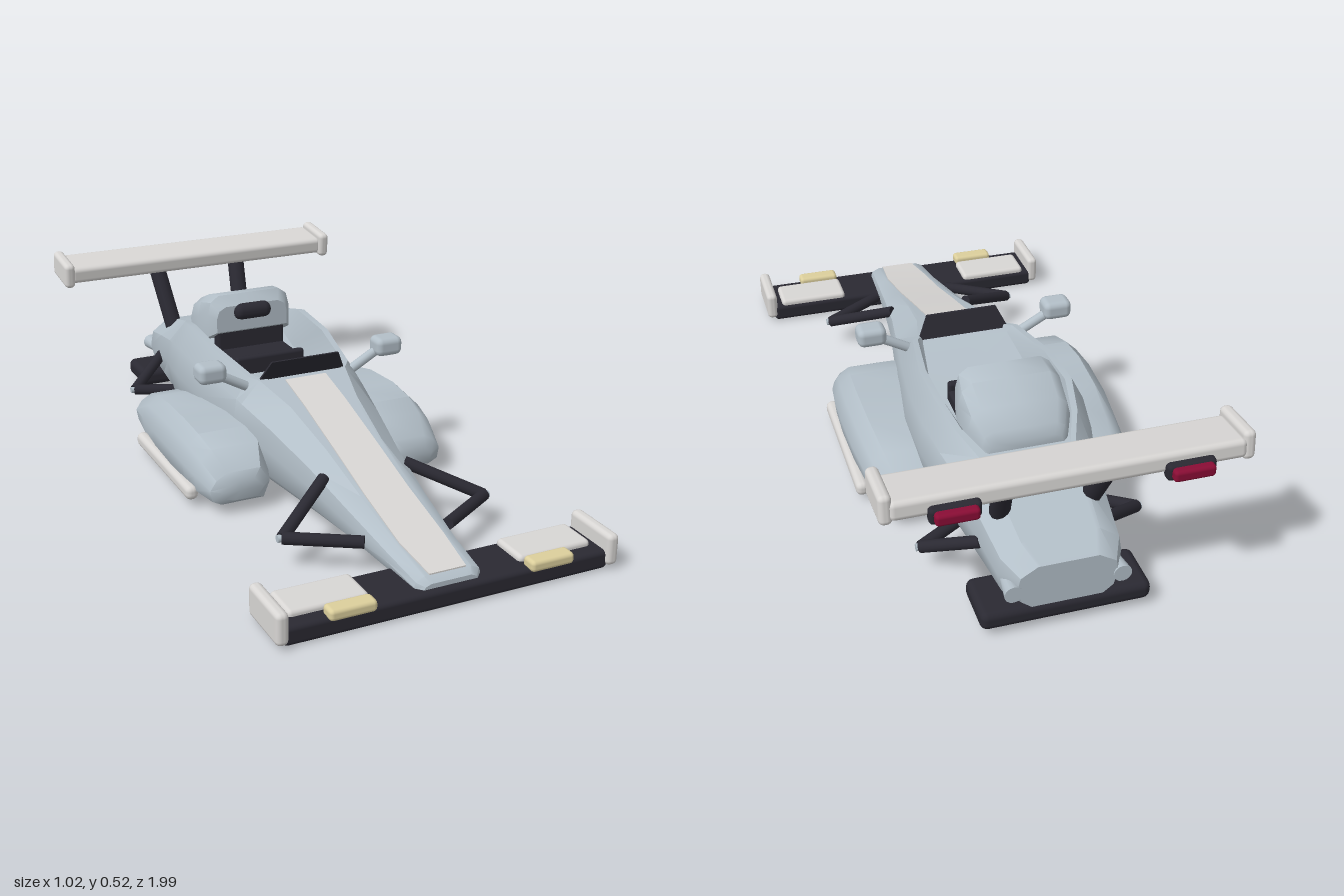
import * as THREE from 'three';
import { toCreasedNormals } from 'three/addons/utils/BufferGeometryUtils.js';
import { RoundedBoxGeometry } from 'three/addons/geometries/RoundedBoxGeometry.js';

const mat = (name, color) => {
  const m = new THREE.MeshStandardMaterial({ color });
  m.name = name;
  return m;
};

// Skins closed cross-sections (counterclockwise seen from the front), listed front to back.
function loft(rings, crease = 0.6) {
  const n = rings[0].length, pos = rings.flat(2), index = [];
  for (let i = 0; i < rings.length - 1; i++) {
    for (let j = 0; j < n; j++) {
      const a = i * n + j, b = i * n + (j + 1) % n;
      index.push(a, a + n, b + n, a, b + n, b);
    }
  }
  [0, rings.length - 1].forEach((r, end) => {
    const c = pos.length / 3;
    for (let k = 0; k < 3; k++) pos.push(rings[r].reduce((t, p) => t + p[k], 0) / n);
    for (let j = 0; j < n; j++) {
      const a = r * n + j, b = r * n + (j + 1) % n;
      if (end) index.push(c, b, a); else index.push(c, a, b);
    }
  });
  const g = new THREE.BufferGeometry();
  g.setAttribute('position', new THREE.Float32BufferAttribute(pos, 3));
  g.setIndex(index);
  return toCreasedNormals(g, crease);
}

// Completes a right-hand half outline, bottom centre to top centre, by mirroring it.
const mirrorRing = (half, z) => [
  ...half.map(([x, y]) => [x, y, z]),
  ...half.slice(1, -1).reverse().map(([x, y]) => [-x, y, z]),
];

export function createModel() {
  const model = new THREE.Group();
  model.name = 'openWheelCar';
  const paint = mat('blueGreyPaint', 0xb3bfc8);
  const pale = mat('paleGrey', 0xd8d6d4);
  const dark = mat('darkTrim', 0x2a2932);
  const red = mat('redLamp', 0x8a0d35);
  const cream = mat('creamLamp', 0xdccf9c);

  const add = (name, geo, material, x = 0, y = 0, z = 0) => {
    const m = new THREE.Mesh(geo, material);
    m.name = name;
    m.position.set(x, y, z);
    model.add(m);
    return m;
  };
  const box = (name, material, w, h, d, r, x, y, z) =>
    add(name, new RoundedBoxGeometry(w, h, d, 2, r), material, x, y, z);
  const rod = (name, material, from, to, r) => {
    const a = new THREE.Vector3(...from), b = new THREE.Vector3(...to);
    const m = add(name, new THREE.CylinderGeometry(r, r, a.distanceTo(b), 12), material);
    m.position.copy(a).add(b).multiplyScalar(0.5);
    m.quaternion.setFromUnitVectors(new THREE.Vector3(0, 1, 0), b.sub(a).normalize());
    return m;
  };

  // Body: z, half width, bottom, top, shoulder half width, cockpit floor height
  const bodyRows = [
    [0.96, 0.08, 0.04, 0.07, 0.06],
    [0.94, 0.1, 0.03, 0.085, 0.07],
    [0.8, 0.11, 0.03, 0.112, 0.075],
    [0.6, 0.13, 0.03, 0.165, 0.08],
    [0.4, 0.155, 0.025, 0.228, 0.09],
    [0.2, 0.19, 0.025, 0.288, 0.11],
    [0.05, 0.217, 0.025, 0.325, 0.145],
    [0.02, 0.222, 0.026, 0.332, 0.17, 0.31],
    [-0.2, 0.252, 0.03, 0.362, 0.205, 0.25],
    [-0.38, 0.256, 0.03, 0.376, 0.205, 0.25],
    [-0.5, 0.237, 0.032, 0.35, 0.18, 0.32],
    [-0.6, 0.212, 0.035, 0.317, 0.14],
    [-0.75, 0.19, 0.04, 0.275, 0.12],
    [-0.88, 0.175, 0.05, 0.235, 0.11],
    [-0.95, 0.14, 0.07, 0.205, 0.085],
  ];
  add('body', loft(bodyRows.map(([z, w, b, t, s, f = t]) => {
    const h = t - b;
    return mirrorRing([[0, b], [0.7 * w, b], [0.92 * w, b + 0.18 * h], [w, b + 0.52 * h],
      [0.95 * w, b + 0.78 * h], [s, t], [0.9 * s, t], [0.8 * s, f], [0, f]], z);
  })), paint);

  // Nose stripe: thin strip following the top of the nose
  add('noseStripe', loft(bodyRows.slice(1, 7).map(([z, , , t]) => {
    const hw = z > 0.9 ? 0.055 : 0.068, zz = z < 0.1 ? 0.07 : z;
    const y = z < 0.1 ? 0.32 : t;
    return [[-hw, y - 0.003, zz], [hw, y - 0.003, zz], [hw, y + 0.004, zz], [-hw, y + 0.004, zz]];
  })), pale);

  // Windscreen: thin trapezoid leaning forward
  add('windscreen', loft([0.008, 0].map((d) => [
    [-0.145, 0.318, 0.035 + d], [0.145, 0.318, 0.035 + d],
    [0.112, 0.385, 0.062 + d], [-0.112, 0.385, 0.062 + d],
  ])), dark);

  // Seat tub
  box('seatBase', dark, 0.24, 0.05, 0.2, 0.01, 0, 0.26, -0.295);
  box('seatBack', dark, 0.24, 0.14, 0.04, 0.012, 0, 0.31, -0.375);
  box('seatFront', dark, 0.24, 0.07, 0.025, 0.01, 0, 0.275, -0.205);

  // Engine cover with intake: z, half width, bottom, top
  add('engineCover', loft([
    [-0.345, 0.125, 0.35, 0.435], [-0.375, 0.145, 0.33, 0.467], [-0.44, 0.155, 0.3, 0.455],
    [-0.52, 0.15, 0.28, 0.42], [-0.575, 0.125, 0.28, 0.375], [-0.59, 0.11, 0.28, 0.345],
  ].map(([z, w, b, t]) => {
    const h = t - b;
    return mirrorRing([[0, b], [w, b], [w, b + 0.55 * h], [0.93 * w, b + 0.85 * h],
      [0.74 * w, t], [0, t]], z);
  }), 0.7), paint);
  box('airIntake', dark, 0.13, 0.053, 0.06, 0.025, 0, 0.413, -0.35);

  // Front and rear wings
  box('frontWing', dark, 0.97, 0.056, 0.17, 0.014, 0, 0.028, 0.895);
  const tilt = 0.1;
  box('rearWing', pale, 0.95, 0.056, 0.15, 0.016, 0, 0.465, -0.883).rotation.x = tilt;
  box('diffuser', dark, 0.48, 0.058, 0.165, 0.022, 0, 0.048, -0.875);

  // Side pod: z, inner x, outer x, bottom, top
  const podRows = [
    [0.25, 0.22, 0.35, 0.045, 0.105], [0.235, 0.195, 0.385, 0.032, 0.13],
    [0.16, 0.17, 0.405, 0.03, 0.178], [0.08, 0.16, 0.414, 0.03, 0.2],
    [-0.03, 0.16, 0.418, 0.03, 0.21], [-0.18, 0.16, 0.414, 0.03, 0.203],
    [-0.32, 0.17, 0.4, 0.033, 0.175], [-0.44, 0.18, 0.383, 0.04, 0.138],
    [-0.455, 0.19, 0.37, 0.05, 0.125],
  ];

  for (const s of [1, -1]) {
    const side = s > 0 ? 'left' : 'right';
    add(side + 'SidePod', loft(podRows.map(([z, xi, xo, b, t]) => {
      const h = t - b;
      const ring = [[xi + 0.02, b], [xo - 0.035, b], [xo - 0.006, b + 0.15 * h], [xo, b + 0.5 * h],
        [xo - 0.02, b + 0.8 * h], [xo - 0.055, t], [xi + 0.03, t], [xi, b + 0.5 * h]]
        .map(([x, y]) => [s * x, y, z]);
      return s > 0 ? ring : ring.reverse();
    }), 0.75), paint);
    box(side + 'Skirt', pale, 0.04, 0.045, 0.47, 0.018, s * 0.41, 0.045, -0.075);

    // Front wing details
    box(side + 'FrontEndplate', pale, 0.036, 0.093, 0.185, 0.015, s * 0.492, 0.058, 0.9);
    box(side + 'FrontFlap', pale, 0.23, 0.03, 0.12, 0.013, s * 0.34, 0.058, 0.876);
    box(side + 'Headlamp', cream, 0.135, 0.034, 0.05, 0.012, s * 0.297, 0.064, 0.967);

    // Rear wing details
    box(side + 'RearEndplate', pale, 0.036, 0.085, 0.16, 0.015, s * 0.482, 0.469, -0.874).rotation.x = tilt;
    rod(side + 'WingStrut', dark, [s * 0.13, 0.25, -0.755], [s * 0.152, 0.45, -0.86], 0.029);
    box(side + 'LampHousing', dark, 0.136, 0.048, 0.035, 0.012, s * 0.312, 0.452, -0.962);
    box(side + 'TailLamp', red, 0.115, 0.034, 0.035, 0.01, s * 0.312, 0.454, -0.982);

    // Mirror on its stalk
    box(side + 'Mirror', paint, 0.09, 0.06, 0.072, 0.02, s * 0.298, 0.37, 0.03);
    rod(side + 'MirrorStalk', paint, [s * 0.18, 0.305, 0.025], [s * 0.275, 0.358, 0.025], 0.015);

    // Suspension arms meeting at a hub
    const arms = [
      ['Front', [0.32, 0.09, 0.602], [0.13, 0.175, 0.468], [0.13, 0.092, 0.72]],
      ['Rear', [0.32, 0.078, -0.64], [0.18, 0.152, -0.75], [0.18, 0.085, -0.56]],
    ];
    for (const [end, hub, upper, lower] of arms) {
      const flip = ([x, y, z]) => [s * x, y, z];
      rod(side + end + 'UpperArm', dark, flip(upper), flip(hub), 0.018);
      rod(side + end + 'LowerArm', dark, flip(lower), flip(hub), 0.018);
      rod(side + end + 'HubPin', paint, flip(hub), [s * 0.335, hub[1], hub[2]], 0.011);
    }

    // Exhaust flaring towards the tail
    const pipe = add(side + 'Exhaust', new THREE.CylinderGeometry(0.014, 0.026, 0.09, 14), paint, s * 0.152, 0.13, -0.91);
    pipe.rotation.x = Math.PI / 2;
  }
  return model;
}
